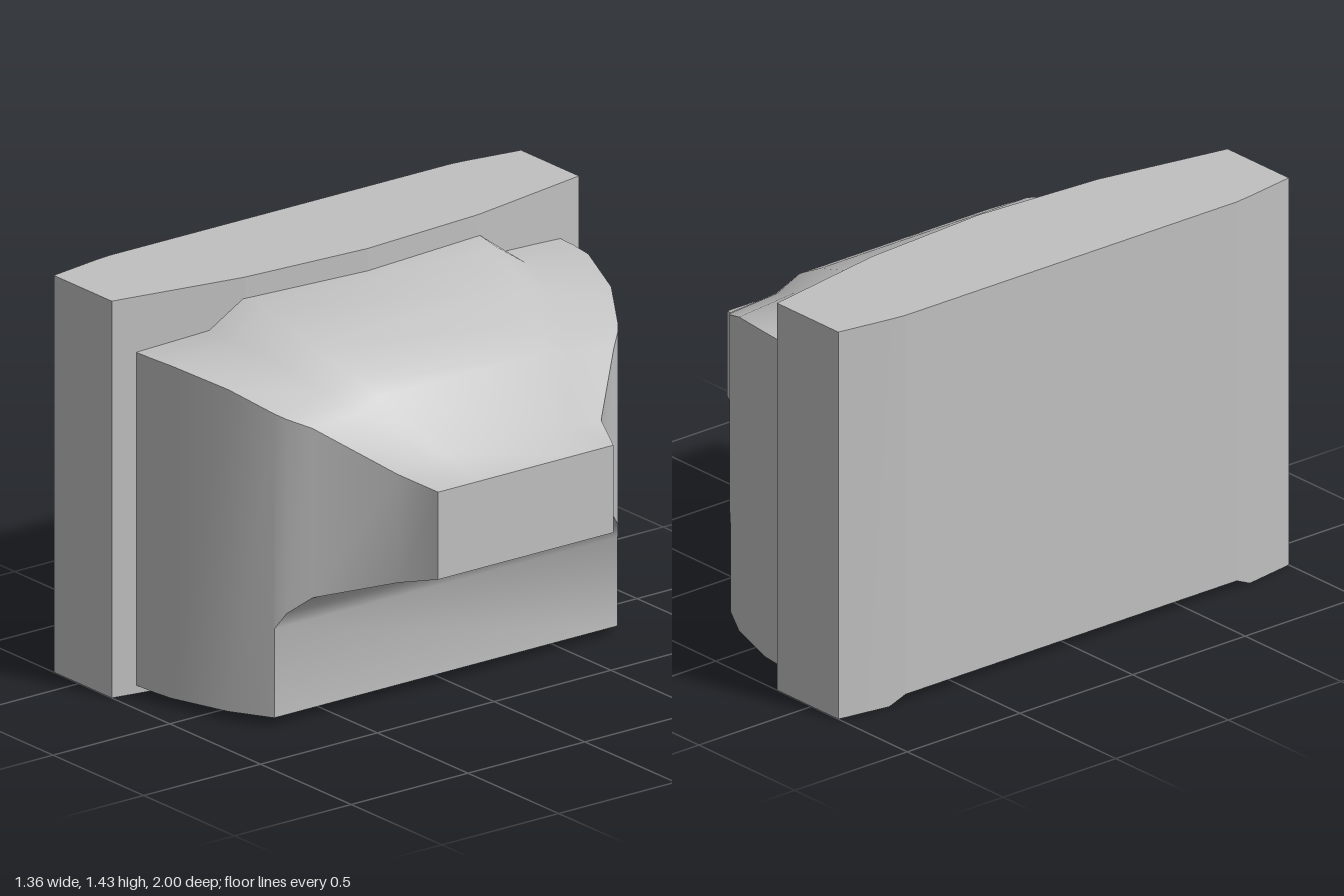
import * as THREE from 'three';
import { toCreasedNormals } from 'three/addons/utils/BufferGeometryUtils.js';

// Skins a list of equal-sized closed rings and caps both ends.
// Rings run clockwise as seen from the end they advance towards.
function loft(rings, crease) {
  const n = rings[0].length;
  const index = [];
  for (let i = 0; i < rings.length - 1; i++) {
    for (let k = 0; k < n; k++) {
      const a = i * n + k, b = i * n + (k + 1) % n;
      index.push(a, a + n, b + n, a, b + n, b);
    }
  }
  const last = (rings.length - 1) * n;
  for (let k = 1; k < n - 1; k++) {
    index.push(0, k, k + 1);
    index.push(last, last + k + 1, last + k);
  }
  const g = new THREE.BufferGeometry();
  g.setAttribute('position', new THREE.Float32BufferAttribute(rings.flat(2), 3));
  g.setIndex(index);
  return toCreasedNormals(g, crease);
}

export function createModel() {
  const group = new THREE.Group();
  const grey = new THREE.MeshStandardMaterial({ color: 0xc0c0c0 });
  grey.name = 'plain grey';

  const add = (name, geometry) => {
    const mesh = new THREE.Mesh(geometry, grey);
    mesh.name = name;
    group.add(mesh);
  };

  // Back plate: bowed front, chamfered back edges and two small feet
  // half stations: z, back x, front x, bottom y
  const half = [
    [1, -0.64, -0.32, 0],
    [0.8, -0.672, -0.284, 0],
    [0.735, -0.68, -0.272, 0.03],
    [0.5, -0.68, -0.23, 0.03],
  ];
  const stations = [
    ...half.map(([z, ...rest]) => [-z, ...rest]),
    [0, -0.68, -0.197, 0.03],
    ...half.slice().reverse(),
  ];
  add('backPlate', loft(stations.map(([z, back, front, low]) => [
    [back, low, z], [back, 1.43, z], [front, 1.43, z], [front, low, z],
  ]), 0.04));

  // Body: side walls taper to a blunt nose, with a raised crown on top
  // x, half width, bottom y, side edge y, crown y
  const body = [
    [-0.35, 0.91, 0.03, 1.23, 1.36],
    [-0.23, 0.905, 0.03, 1.23, 1.353],
    [-0.13, 0.893, 0.03, 1.228, 1.342],
    [0.09, 0.82, 0.03, 1.19, 1.267],
    [0.235, 0.735, 0.03, 1.125, 1.19],
    [0.235, 0.735, 0.35, 1.125, 1.19],
    [0.27, 0.71, 0.41, 1.11, 1.17],
    [0.33, 0.645, 0.47, 1.08, 1.132],
    [0.53, 0.435, 0.535, 0.925, 0.955],
    [0.675, 0.375, 0.575, 0.89, 0.89],
  ];
  // crown section: fraction of half width, fraction of crown rise
  const crown = [[1, 0], [0.7, 0.25], [0.56, 1]];
  add('body', loft(body.map(([x, w, low, edge, top]) => {
    const side = crown.map(([f, r]) => [x, edge + (top - edge) * r, w * f]);
    const left = [[x, low, w], ...side];
    const right = left.map(([px, y, z]) => [px, y, -z]).reverse();
    return [...left, ...right];
  }), 0.65));

  return group;
}
